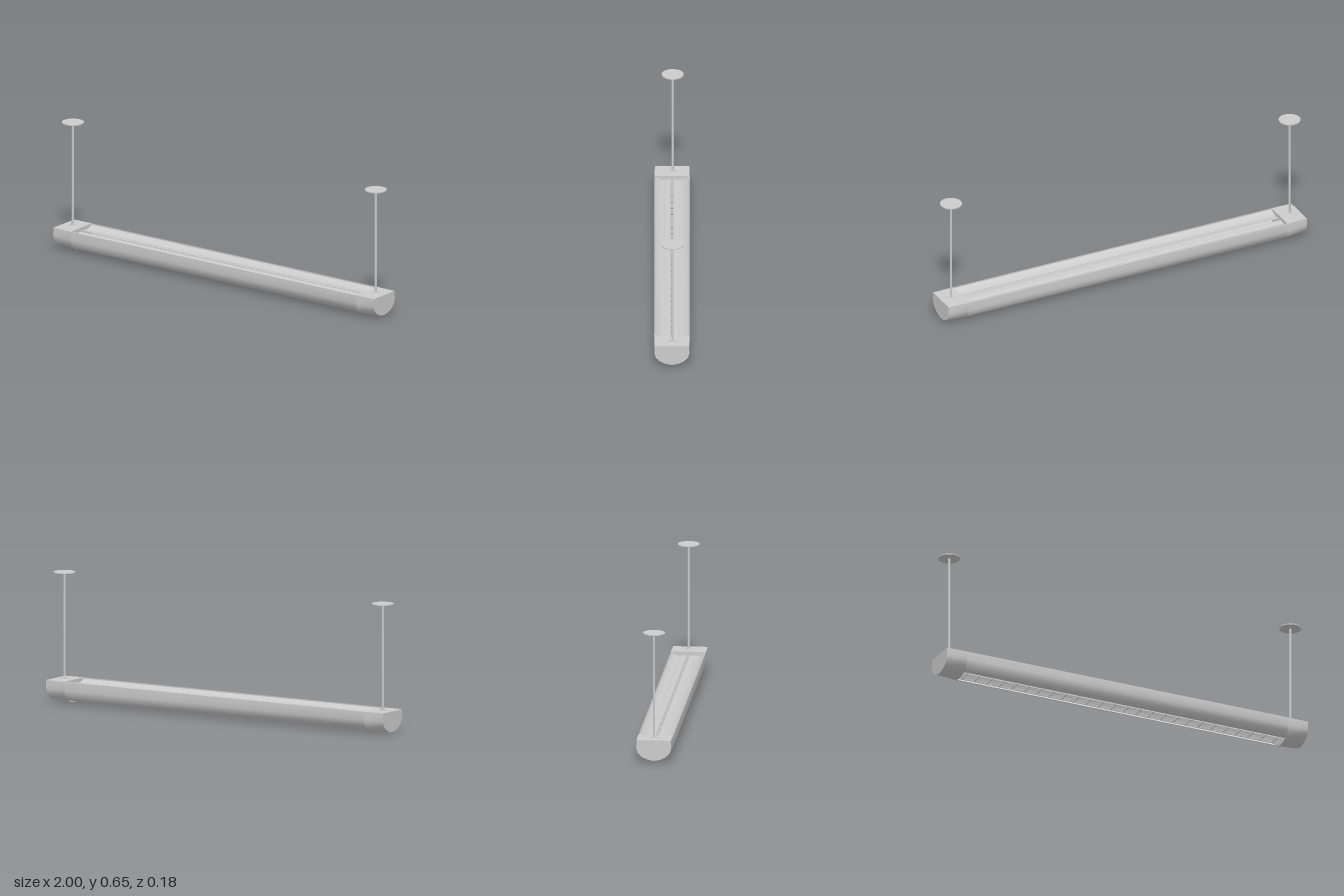
import * as THREE from 'three';
import { toCreasedNormals } from 'three/addons/utils/BufferGeometryUtils.js';

const material = new THREE.MeshStandardMaterial({ color: 0xcccccc, side: THREE.DoubleSide });
const TOP = 0.114, CAP_X = 0.89;

// Half of the D-shaped section as [z, y], from the top rim to the keel
const PROFILE = [[0.088, TOP], [0.09, 0.07], [0.082, 0.042], [0.06, 0.02], [0.032, 0.006], [0, 0]];

function add(parent, name, geometry, x = 0, y = 0, z = 0) {
  const mesh = new THREE.Mesh(geometry, material);
  mesh.name = name;
  mesh.position.set(x, y, z);
  parent.add(mesh);
  return mesh;
}

// Sweep a [z, y] outline along x, starting at x0
function sweep(points, x0, length) {
  const shape = new THREE.Shape(points.map(([z, y]) => new THREE.Vector2(-z, y)));
  const geometry = new THREE.ExtrudeGeometry(shape, { depth: length, bevelEnabled: false });
  geometry.rotateY(Math.PI / 2);
  geometry.translate(x0, 0, 0);
  return geometry;
}

// Thin sheet that follows an open [z, y] line, on the given side of the body
function sheet(line, side) {
  const inner = line.map(([z, y]) => [z - 0.002, y + 0.001]).reverse();
  const points = [...line, ...inner].map(([z, y]) => [z * side, y]);
  return toCreasedNormals(sweep(points, -CAP_X, CAP_X * 2), 0.6);
}

// Solid end block that tapers slightly towards its outer face
function endCap(side) {
  const outline = [...PROFILE, ...PROFILE.slice(0, -1).reverse().map(([z, y]) => [-z, y])];
  const geometry = sweep(outline, side > 0 ? CAP_X : -1, 1 - CAP_X);
  const p = geometry.attributes.position;
  for (let i = 0; i < p.count; i++) {
    if (Math.abs(p.getX(i)) > 0.95) {
      p.setY(i, TOP - (TOP - p.getY(i)) * 0.92);
      p.setZ(i, p.getZ(i) * 0.97);
    }
  }
  return toCreasedNormals(geometry, 0.6);
}

export function createModel() {
  const model = new THREE.Group();
  model.name = 'suspendedLight';

  for (const side of [1, -1]) {
    // Curved housing side, open along the bottom
    add(model, 'housingSide', sheet([...PROFILE.slice(0, 4), [0.05, 0.0155]], side));
    // Shallow upper tray: sloped edge, then a flat strip beside the centre slot
    add(model, 'upperTray', sheet([[0.086, 0.108], [0.078, 0.1], [0.042, 0.09], [0.036, 0.094], [0.01, 0.094]], side));
    // Side rail of the louver
    add(model, 'louverRail', sheet([[0.037, 0.018], [0.034, 0.034], [0.028, 0.048]], side));
  }

  // Cross blades between the rails
  const blade = [[0.036, 0.018], [0.033, 0.034], [0.027, 0.048], [-0.027, 0.048], [-0.033, 0.034], [-0.036, 0.018]];
  const bladeGeometry = sweep(blade, -0.002, 0.004);
  const count = 26;
  for (let i = 0; i < count; i++) {
    add(model, 'louverBlade', bladeGeometry, -0.86 + (1.72 * i) / (count - 1));
  }

  // End blocks, each hung from a ceiling plate by a rod
  for (const side of [1, -1]) {
    add(model, 'endCap', endCap(side));
    const hanger = new THREE.Group();
    hanger.name = 'hanger';
    hanger.position.set(side * 0.945, 0, -0.003);
    model.add(hanger);
    add(hanger, 'flange', new THREE.CylinderGeometry(0.022, 0.024, 0.002, 24), 0, TOP + 0.001);
    add(hanger, 'collar', new THREE.CylinderGeometry(0.014, 0.014, 0.006, 20), 0, TOP + 0.003);
    add(hanger, 'rod', new THREE.CylinderGeometry(0.006, 0.006, 0.537, 16), 0, 0.3825);
    add(hanger, 'ceilingPlate', new THREE.CylinderGeometry(0.055, 0.055, 0.005, 32), 0, 0.652);
  }
  return model;
}
